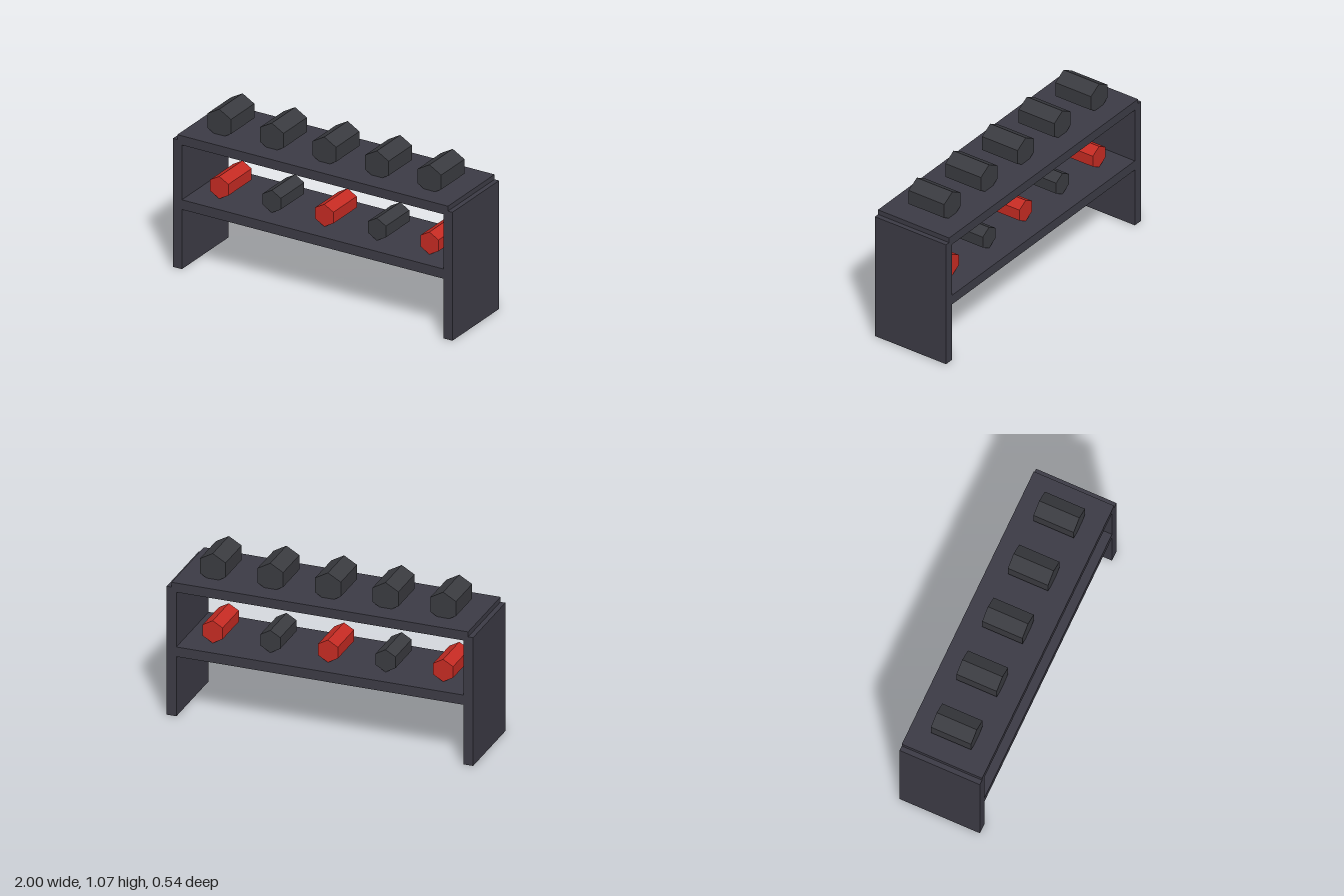
import * as THREE from 'three';

function material(name, color) {
  const m = new THREE.MeshStandardMaterial({ color });
  m.name = name;
  return m;
}

export function createModel() {
  const rack = new THREE.Group();
  rack.name = 'weightRack';
  const frameMat = material('charcoal frame', 0x3c3b45);
  const darkMat = material('dark grey rubber', 0x3a3b40);
  const redMat = material('red rubber', 0xc62b23);
  const depth = 0.536;

  function add(name, geometry, mat, x, y) {
    const mesh = new THREE.Mesh(geometry, mat);
    mesh.name = name;
    mesh.position.set(x, y, 0);
    rack.add(mesh);
  }

  // Box given by its width, bottom and top
  function board(name, width, bottom, top, x = 0) {
    add(name, new THREE.BoxGeometry(width, top - bottom, depth), frameMat, x, (bottom + top) / 2);
  }

  // Hexagonal bar lying along z, one corner up, with flat faces
  function hexBar(radius) {
    const g = new THREE.CylinderGeometry(radius, radius, 0.268, 6).rotateX(Math.PI / 2).toNonIndexed();
    g.computeVertexNormals();
    return g;
  }

  // Side panels and shelves
  board('leftSide', 0.064, 0, 0.861, 0.968);
  board('rightSide', 0.064, 0, 0.861, -0.968);
  board('upperShelf', 1.936, 0.832, 0.894);
  board('lowerShelf', 1.874, 0.4, 0.465);

  // Five large weights on top, five small ones below in alternating colours
  const large = hexBar(0.097);
  const small = hexBar(0.075);
  for (let i = 0; i < 5; i++) {
    const x = (i - 2) * 0.376;
    add('upperWeight' + (i + 1), large, darkMat, x, 0.968);
    add('lowerWeight' + (i + 1), small, i % 2 ? darkMat : redMat, x, 0.539);
  }
  return rack;
}
